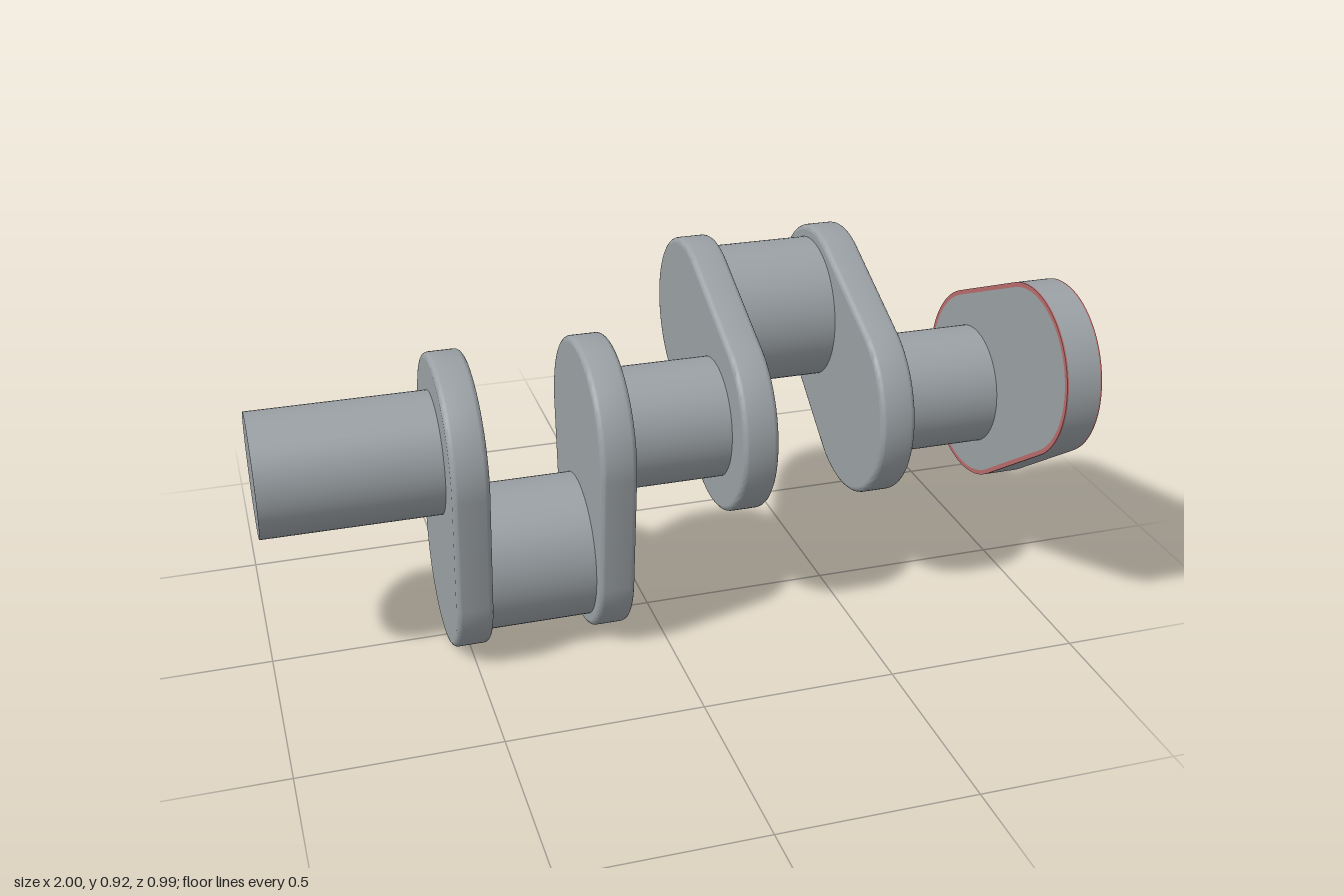
import * as THREE from 'three';
import { toCreasedNormals } from 'three/addons/utils/BufferGeometryUtils.js';

const AXIS_Y = 0.54;      // height of the main shaft axis
const THROW = 0.318;      // crank pin distance from the main axis
const MAIN_R = 0.25, PIN_R = 0.22; // web radii around shaft and pin
const WEB_T = 0.093;
const DOWN = -Math.PI / 2, BACK = Math.PI / 6, FRONT = 5 * Math.PI / 6;

const steel = new THREE.MeshStandardMaterial({ color: 0x9aa0a4 });
steel.name = 'steel grey';
const red = new THREE.MeshStandardMaterial({ color: 0xb86c6c });
red.name = 'edge red';

// Outline of two unequal circles joined by tangents, inset by a distance
function trace(path, angle, inset) {
  const a = Math.acos((MAIN_R - PIN_R) / THROW);
  path.absarc(Math.cos(angle) * THROW, Math.sin(angle) * THROW, PIN_R - inset, angle - a, angle + a, false);
  path.absarc(0, 0, MAIN_R - inset, angle + a, angle - a + 2 * Math.PI, false);
  path.closePath();
  return path;
}

// Extruded plate lying across the shaft, from x0 to x1
function plate(name, material, x0, x1, angle, { inset = 0, bevel = 0, hole = 0 } = {}) {
  const shape = trace(new THREE.Shape(), angle, inset + bevel);
  if (hole) shape.holes.push(trace(new THREE.Path(), angle, hole));
  let geo = new THREE.ExtrudeGeometry(shape, {
    depth: x1 - x0 - 2 * bevel, curveSegments: 32,
    bevelEnabled: bevel > 0, bevelSize: bevel, bevelThickness: bevel, bevelSegments: 4,
  });
  geo.translate(0, 0, bevel);
  const flat = geo.attributes.normal.clone();
  geo = toCreasedNormals(geo, 0.6);
  // keep the end faces perfectly flat next to the rounded edge
  const n = geo.attributes.normal;
  for (let i = 0; i < n.count; i++) {
    if (Math.abs(flat.getZ(i)) > 0.999) n.setXYZ(i, 0, 0, Math.sign(flat.getZ(i)));
  }
  geo.rotateY(Math.PI / 2);
  const mesh = new THREE.Mesh(geo, material);
  mesh.name = name;
  mesh.position.set(x0, AXIS_Y, 0);
  return mesh;
}

// Round journal along x, on the main axis or at the throw angle
function journal(name, radius, x0, x1, angle = null) {
  const geo = new THREE.CylinderGeometry(radius, radius, x1 - x0, 64).rotateZ(Math.PI / 2);
  const mesh = new THREE.Mesh(geo, steel);
  mesh.name = name;
  const r = angle === null ? 0 : THROW;
  mesh.position.set((x0 + x1) / 2, AXIS_Y + Math.sin(angle) * r, -Math.cos(angle) * r);
  return mesh;
}

export function createModel() {
  const crankshaft = new THREE.Group();
  crankshaft.name = 'crankshaft';

  // Main shaft sections
  [[-1, -0.54], [-0.11, 0.19], [0.62, 0.92]].forEach(([a, b], i) =>
    crankshaft.add(journal(`mainJournal${i + 1}`, 0.157, a, b)));

  // Two throws: a pin between a pair of round-edged webs
  [[-0.552, -0.188, DOWN], [0.177, 0.543, BACK]].forEach(([a, b, angle], i) => {
    const group = new THREE.Group();
    group.name = `throw${i + 1}`;
    for (const [side, x] of [['right', a], ['left', b]]) {
      group.add(plate(`${side}Web`, steel, x, x + WEB_T, angle, { bevel: 0.014 }));
    }
    group.add(journal('crankPin', 0.188, a + WEB_T - 0.01, b + 0.01, angle));
    crankshaft.add(group);
  });

  // Square-edged end web with a thin red rim on both faces
  const x0 = 0.907, rim = 0.012, t = 0.004;
  const endWeb = new THREE.Group();
  endWeb.name = 'endWeb';
  endWeb.add(
    plate('endWebBody', steel, x0 + t, 1 - t, FRONT),
    plate('endWebFaces', steel, x0, 1, FRONT, { inset: rim }),
    plate('innerRim', red, x0, x0 + t, FRONT, { hole: rim }),
    plate('outerRim', red, 1 - t, 1, FRONT, { hole: rim }),
  );
  crankshaft.add(endWeb);
  return crankshaft;
}
